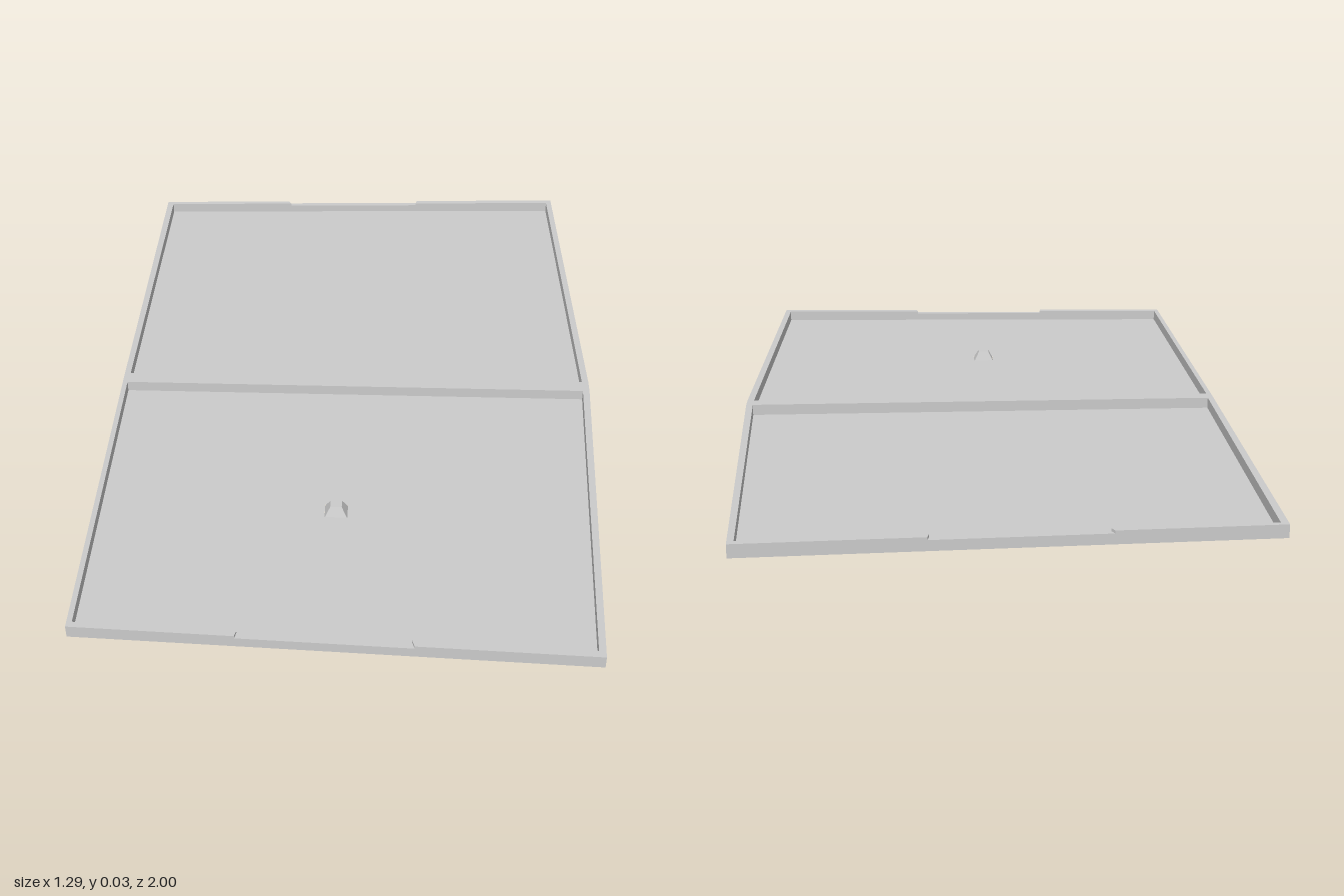
import * as THREE from 'three';

const HEIGHT = 0.033, FLOOR = 0.004, NOTCH = 0.026;
const SPINE_BACK = -0.026, SPINE_FRONT = 0.014;

// outer and inner corners of the two trays, as [x, z]
const trays = {
  back: {
    outer: [[-0.648, SPINE_BACK], [-0.643, -0.95], [0.6, -1], [0.643, SPINE_BACK]],
    inner: [[-0.632, SPINE_BACK], [-0.625, -0.938], [0.585, -0.983], [0.625, SPINE_BACK]],
  },
  front: {
    outer: [[0.643, SPINE_FRONT], [0.6, 1], [-0.643, 0.945], [-0.648, SPINE_FRONT]],
    inner: [[0.625, SPINE_FRONT], [0.584, 0.98], [-0.63, 0.929], [-0.635, SPINE_FRONT]],
  },
};

export function createModel() {
  const model = new THREE.Group();
  const material = new THREE.MeshStandardMaterial({ color: 0xcccccc, flatShading: true });
  const add = (geometry, name, mat = material) => {
    const mesh = new THREE.Mesh(geometry, mat);
    mesh.name = name;
    model.add(mesh);
    return mesh;
  };
  const toShape = (points) => new THREE.Shape(points.map(([x, y]) => new THREE.Vector2(x, y)));
  const mix = THREE.MathUtils.lerp;

  // Mitred wall: a side profile (u along the wall, y up) swept from the outer to the inner edge
  function wallGeometry(o0, o1, i0, i1, profile) {
    const g = new THREE.ExtrudeGeometry(toShape(profile), { depth: 1, bevelEnabled: false });
    const p = g.attributes.position;
    for (let i = 0; i < p.count; i++) {
      const u = p.getX(i), t = p.getZ(i);
      const at = (k) => mix(mix(o0[k], o1[k], u), mix(i0[k], i1[k], u), t);
      p.setXYZ(i, at(0), p.getY(i), at(1));
    }
    g.computeVertexNormals();
    return g;
  }

  const plain = [[0, 0], [1, 0], [1, HEIGHT], [0, HEIGHT]];
  // end walls have a shallow finger notch in the top edge
  const notched = (a, b) => [[0, 0], [1, 0], [1, HEIGHT], [b, HEIGHT], [b, NOTCH],
    [a, NOTCH], [a, HEIGHT], [0, HEIGHT]];
  const profiles = {
    back: [plain, notched(0.316, 0.65), plain],
    front: [plain, notched(0.35, 0.684), plain],
  };

  const pegX = -0.035, pegZ = 0.495, pegW = 0.029, pegD = 0.024;
  for (const [name, { outer, inner }] of Object.entries(trays)) {
    // rim
    ['SideWallA', 'EndWall', 'SideWallB'].forEach((part, i) => add(
      wallGeometry(outer[i], outer[i + 1], inner[i], inner[i + 1], profiles[name][i]), name + part));

    // floor, with an opening below the hollow peg in the front tray
    const shape = toShape(inner.map(([x, z]) => [x, -z]));
    if (name === 'front') {
      shape.holes.push(toShape([[-1, -1], [-1, 1], [1, 1], [1, -1]]
        .map(([a, b]) => [pegX + a * pegW, -pegZ + b * pegD])));
    }
    const floor = new THREE.ExtrudeGeometry(shape, { depth: FLOOR, bevelEnabled: false });
    floor.rotateX(-Math.PI / 2);
    add(floor, name + 'Floor');
  }

  // spine between the trays, with a fold groove underneath
  const depth = SPINE_FRONT - SPINE_BACK;
  const spine = new THREE.ExtrudeGeometry(toShape([
    [0, 0], [0.006, 0], [0.019, 0.011], [0.029, 0.011], [depth, 0], [depth, HEIGHT], [0, HEIGHT],
  ]), { depth: 1.291, bevelEnabled: false });
  spine.rotateY(-Math.PI / 2);
  spine.translate(0.643, 0, SPINE_BACK);
  add(spine, 'spine');

  // hollow four-sided peg
  const r = Math.SQRT2;
  const peg = new THREE.LatheGeometry([
    new THREE.Vector2(r, 0), new THREE.Vector2(r * 0.5, 0.028), new THREE.Vector2(0, 0.028),
  ], 4, Math.PI / 4);
  peg.scale(pegW, 1, pegD);
  peg.translate(pegX, 0, pegZ);
  const pegMaterial = material.clone();
  pegMaterial.side = THREE.DoubleSide;
  add(peg, 'peg', pegMaterial);

  return model;
}
